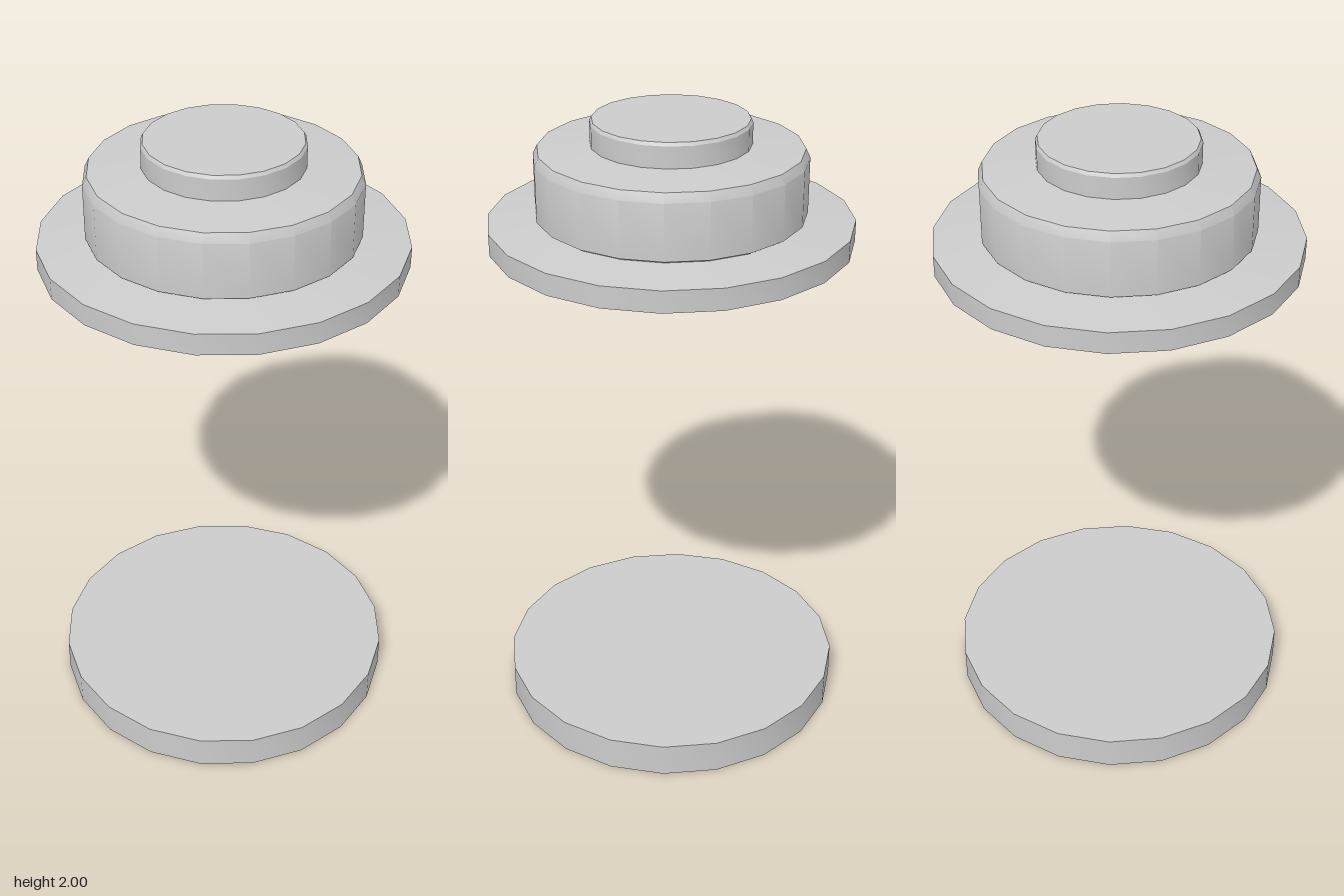
import * as THREE from 'three';
import { toCreasedNormals } from 'three/addons/utils/BufferGeometryUtils.js';

const SIDES = 20;

export function createModel() {
  const group = new THREE.Group();
  const material = new THREE.MeshStandardMaterial({ color: 0xcccccc });

  // Turned solid from a [radius, height] profile running bottom to top
  function turned(name, profile) {
    const points = profile.map(([r, y]) => new THREE.Vector2(r, y));
    const geometry = toCreasedNormals(new THREE.LatheGeometry(points, SIDES), 0.5);
    const mesh = new THREE.Mesh(geometry, material);
    mesh.name = name;
    group.add(mesh);
  }

  // Flat disc at the bottom
  turned('baseDisc', [[0, 0], [0.555, 0], [0.555, 0.11], [0, 0.11]]);

  // Stepped cap: sloped flange, drum with a bevelled rim, small top knob
  turned('steppedCap', [
    [0, 1.625], [0.555, 1.625], [0.555, 1.692],
    [0.398, 1.708], [0.41, 1.715],
    [0.41, 1.885], [0.397, 1.912],
    [0.24, 1.925], [0.24, 1.99], [0.234, 2], [0, 2],
  ]);

  return group;
}
